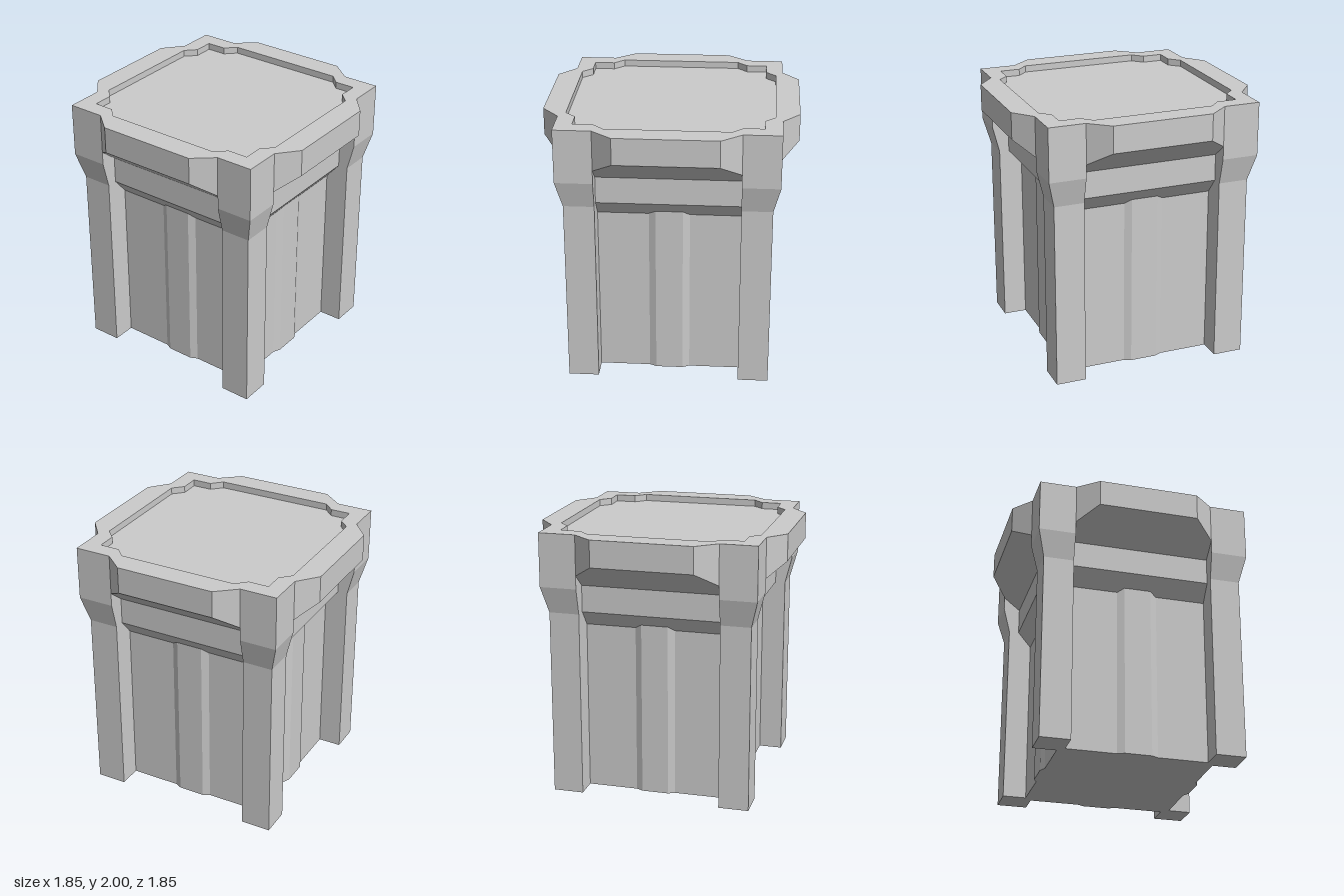
import * as THREE from 'three';

const material = new THREE.MeshStandardMaterial({ color: 0xcccccc, flatShading: true });

// Closed ring from one side's [x, y, z] points (front, left to right), turned about y four times
function fourSided(side) {
  const ring = [];
  for (let k = 0; k < 4; k++) {
    for (const point of side) {
      let [x, y, z] = point;
      for (let j = 0; j < k; j++) [x, z] = [z, -x];
      ring.push([x, y, z]);
    }
  }
  return ring;
}

// Skin between successive rings (counter-clockwise from above), capped at both ends
function loft(name, rings) {
  const pos = [];
  const tri = (a, b, c) => pos.push(...a, ...b, ...c);
  const n = rings[0].length;
  const centre = (ring) => [0, 1, 2].map((k) => ring.reduce((s, p) => s + p[k], 0) / n);
  const first = rings[0], last = rings[rings.length - 1];
  const c0 = centre(first), c1 = centre(last);
  for (let i = 0; i < n; i++) {
    const j = (i + 1) % n;
    for (let r = 0; r < rings.length - 1; r++) {
      const lo = rings[r], hi = rings[r + 1];
      tri(lo[i], lo[j], hi[j]);
      tri(lo[i], hi[j], hi[i]);
    }
    tri(c0, first[j], first[i]);
    tri(c1, last[i], last[j]);
  }
  const geometry = new THREE.BufferGeometry();
  geometry.setAttribute('position', new THREE.Float32BufferAttribute(pos, 3));
  geometry.computeVertexNormals();
  const mesh = new THREE.Mesh(geometry, material);
  mesh.name = name;
  return mesh;
}

// Head ring: square corner, shoulder beside the post, and lip in the middle of each side
function headRing(corner, lipX, lipZ, y, lipY = y) {
  return fourSided([
    [-corner, y, corner],
    [-0.525, y, corner],
    [-lipX, lipY, lipZ],
    [lipX, lipY, lipZ],
    [0.525, y, corner],
  ]);
}

export function createModel() {
  const group = new THREE.Group();
  group.name = 'pillar';

  // Core shaft with a shallow rib down the middle of each wall
  const shaftRing = (y) => fourSided([
    [-0.575, y, 0.575], [-0.15, y, 0.575], [-0.1, y, 0.6],
    [0.1, y, 0.6], [0.15, y, 0.575],
  ]);
  group.add(loft('shaft', [shaftRing(0), shaftRing(1.35)]));

  // Collar band, overhanging lips, rim and sunken top panel
  group.add(loft('head', [
    headRing(0.575, 0.375, 0.575, 1.28),
    headRing(0.675, 0.375, 0.675, 1.4),
    headRing(0.675, 0.375, 0.675, 1.6),
    headRing(0.8, 0.375, 0.925, 1.7, 1.8),
    headRing(0.8, 0.375, 0.925, 2),
    headRing(0.675, 0.45, 0.75, 2),
    headRing(0.675, 0.45, 0.75, 1.95),
  ]));

  // Corner posts, flaring outwards below the head
  const postRing = (outer, y) => [
    [0.525, y, outer], [outer, y, outer], [outer, y, 0.525], [0.525, y, 0.525],
  ];
  for (let k = 0; k < 4; k++) {
    const post = loft('cornerPost', [
      postRing(0.75, 0), postRing(0.75, 1.4), postRing(0.8, 1.6), postRing(0.8, 1.7),
    ]);
    post.rotation.y = (k * Math.PI) / 2;
    group.add(post);
  }
  return group;
}
